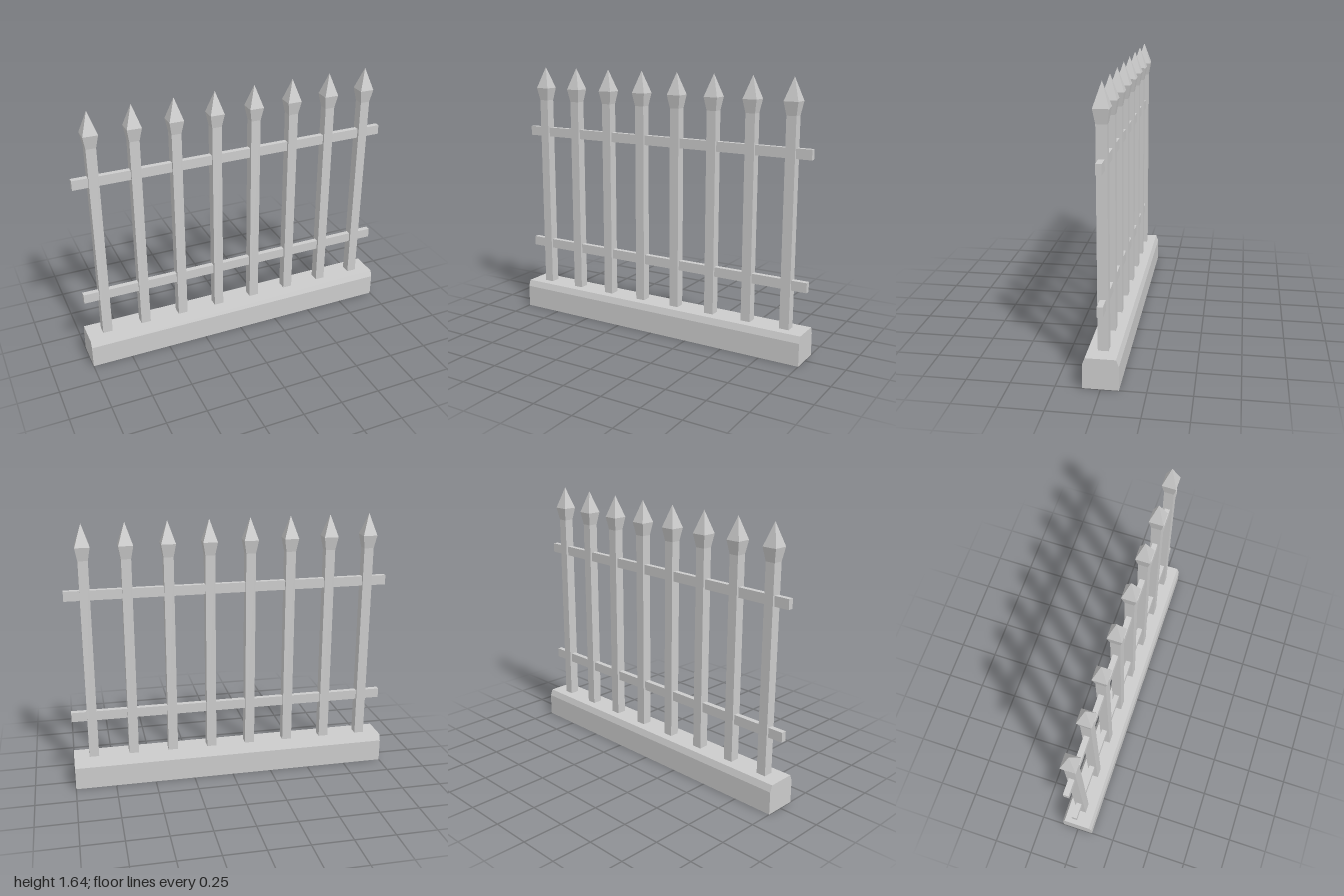
import * as THREE from 'three';

const material = new THREE.MeshStandardMaterial({ color: 0xcccccc, flatShading: true });

function addMesh(parent, name, geometry, x = 0, y = 0, z = 0) {
  const mesh = new THREE.Mesh(geometry, material);
  mesh.name = name;
  mesh.position.set(x, y, z);
  parent.add(mesh);
}

// Four-sided solid from [half width, height] pairs, sides facing the axes
function squareLathe(profile) {
  const points = profile.map(([half, y]) => new THREE.Vector2(half * Math.SQRT2, y));
  return new THREE.LatheGeometry(points, 4, Math.PI / 4);
}

export function createModel() {
  const model = new THREE.Group();
  model.name = 'fence';

  // Plinth with chamfered long top edges, extruded along x
  const section = new THREE.Shape([
    [-0.1, 0], [0.1, 0], [0.1, 0.14], [0.085, 0.18], [-0.085, 0.18], [-0.1, 0.14],
  ].map(([z, y]) => new THREE.Vector2(z, y)));
  const plinth = new THREE.ExtrudeGeometry(section, { depth: 2, bevelEnabled: false });
  plinth.translate(0, 0, -1).rotateY(Math.PI / 2);
  addMesh(model, 'plinth', plinth);

  // Horizontal rails
  const rail = new THREE.BoxGeometry(2, 0.06, 0.033);
  addMesh(model, 'lowerRail', rail, 0, 0.45);
  addMesh(model, 'upperRail', rail, 0, 1.22);

  // Square pickets with flared, pointed heads
  const shaft = new THREE.BoxGeometry(0.06, 1.25, 0.06);
  const head = squareLathe([[0.03, 1.43], [0.044, 1.51], [0, 1.645]]);
  for (let i = 0; i < 8; i++) {
    const picket = new THREE.Group();
    picket.name = 'picket';
    picket.position.x = -0.875 + i * 0.25;
    addMesh(picket, 'picketShaft', shaft, 0, 0.805);
    addMesh(picket, 'picketHead', head);
    model.add(picket);
  }
  return model;
}
